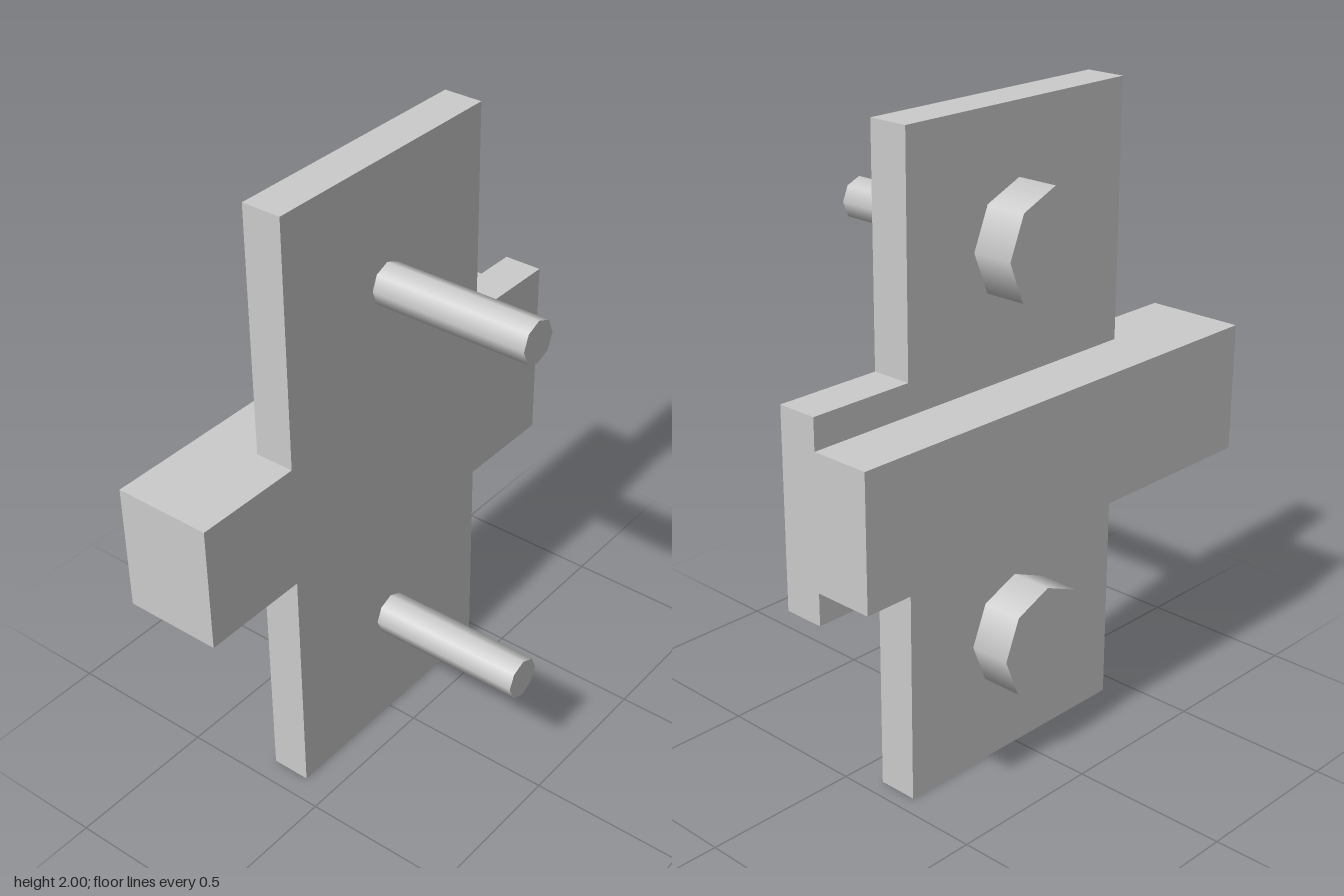
import * as THREE from 'three';

const material = new THREE.MeshStandardMaterial({ color: 0xcccccc });

function addPart(parent, name, geometry) {
  const mesh = new THREE.Mesh(geometry, material);
  mesh.name = name;
  parent.add(mesh);
  return mesh;
}

// Eight-sided, smooth-shaded cylinder lying along x
function rod(radius, x0, x1) {
  return new THREE.CylinderGeometry(radius, radius, x1 - x0, 8)
    .rotateZ(-Math.PI / 2)
    .translate((x0 + x1) / 2, 0, 0);
}

export function createModel() {
  const model = new THREE.Group();
  model.name = 'boltedBracket';

  const outer = -0.415, back = -0.228, face = -0.1; // x levels
  const front = 0.425, rear = -0.443, end = 0.782; // z levels

  // Upright plate with a narrow front arm and a taller rear tab, drawn in (z, y)
  const outline = new THREE.Shape([
    [rear, 0], [front, 0], [front, 0.8], [end, 0.8], [end, 1.207], [front, 1.207],
    [front, 2], [rear, 2], [rear, 1.303], [-end, 1.303], [-end, 0.702], [rear, 0.702],
  ].map(([z, y]) => new THREE.Vector2(z, y)));
  const plate = new THREE.ExtrudeGeometry(outline, { depth: face - back, bevelEnabled: false });
  plate.rotateY(-Math.PI / 2).translate(face, 0, 0);
  addPart(model, 'plate', plate);

  // Rail running the full depth along the plate
  const rail = new THREE.BoxGeometry(back - outer, 0.407, 2 * end);
  addPart(model, 'rail', rail).position.set((outer + back) / 2, 1.0035, 0);

  // Bolts above and below the rail
  for (const [name, y] of [['lowerBolt', 0.4], ['upperBolt', 1.608]]) {
    const bolt = new THREE.Group();
    bolt.name = name;
    bolt.position.set(0, y, -0.01);
    addPart(bolt, 'boltHead', rod(0.178, -0.36, back));
    addPart(bolt, 'boltShaft', rod(0.067, face, 0.413));
    model.add(bolt);
  }
  return model;
}
